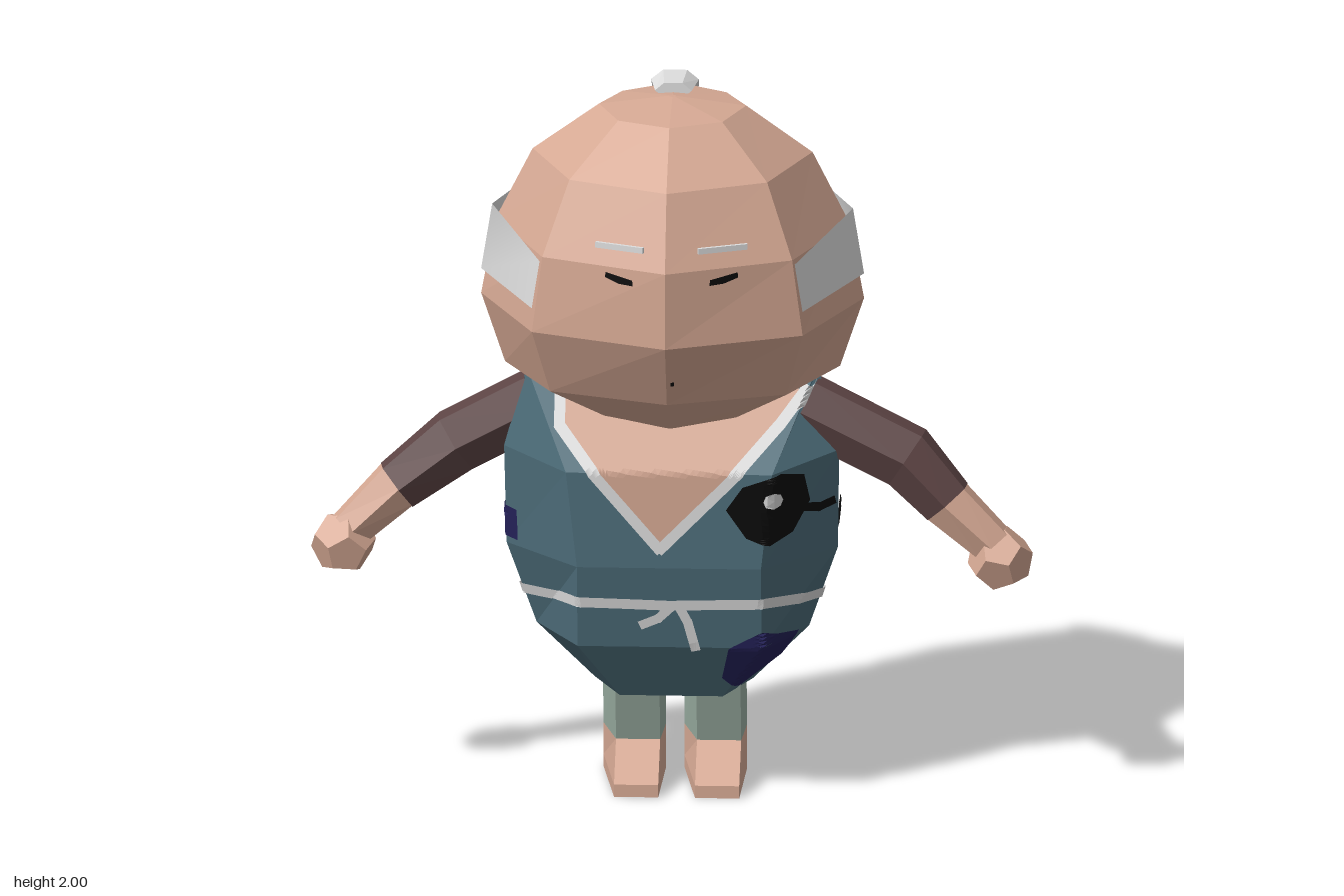
import * as THREE from 'three';

const V = (x, y, z) => new THREE.Vector3(x, y, z);
const paint = (name, color) => {
  const m = new THREE.MeshStandardMaterial({ color, side: THREE.DoubleSide });
  m.name = name;
  return m;
};

// Eight-sided head ring: half width rx, front depth zf, back depth zb, pointed to the rear
function headRing(y, rx, zf, zb) {
  return Array.from({ length: 8 }, (_, i) => {
    const a = i / 8 * Math.PI * 2, c = Math.cos(a);
    return V(Math.sin(a) * rx, y, 0.03 + (c > 0 ? c * (zf - 0.03) : Math.abs(c) ** 1.6 * (zb - 0.03)));
  });
}

// Ring from its left half, front to back, mirrored to the right
function mirrorRing(half) {
  const left = half.map(p => V(...p));
  const right = left.filter(p => p.x > 0).reverse().map(p => V(-p.x, p.y, p.z));
  return [...left, ...right];
}

// Faceted skin over a stack of rings, closed at both ends
function loft(rings) {
  const out = [], tri = (...p) => p.forEach(v => out.push(v.x, v.y, v.z));
  const n = rings[0].length;
  const mid = r => r.reduce((s, v) => s.add(v), V(0, 0, 0)).divideScalar(n);
  const first = rings[0], last = rings[rings.length - 1];
  const lo = mid(first), hi = mid(last);
  for (let i = 0; i < n; i++) {
    const j = (i + 1) % n;
    for (let k = 0; k + 1 < rings.length; k++) {
      const a = rings[k], b = rings[k + 1];
      tri(a[i], a[j], b[j]);
      tri(a[i], b[j], b[i]);
    }
    tri(lo, first[j], first[i]);
    tri(hi, last[i], last[j]);
  }
  return flat(out);
}

function flat(positions) {
  const g = new THREE.BufferGeometry();
  g.setAttribute('position', new THREE.Float32BufferAttribute(positions, 3));
  g.computeVertexNormals();
  return g;
}

// Six-sided limb along a path; sizes are [half width along u, half thickness]
function limb(path, sizes, u) {
  return loft(path.map((p, k) => {
    const d = path[Math.min(k + 1, path.length - 1)].clone().sub(path[Math.max(k - 1, 0)]).normalize();
    const v = d.clone().cross(u).normalize(), w = v.clone().cross(d).normalize();
    return Array.from({ length: 6 }, (_, i) => {
      const a = (i / 6) * Math.PI * 2;
      return p.clone().addScaledVector(w, Math.cos(a) * sizes[k][0]).addScaledVector(v, Math.sin(a) * sizes[k][1]);
    });
  }));
}

// Where an outline point is cast from: along z (x,y), along x (z,y) or inwards all round (angle,y)
const casts = {
  front: q => [V(q.x, q.y, 2), V(0, 0, -1)],
  left: q => [V(2, q.y, q.x), V(-1, 0, 0)],
  right: q => [V(-2, q.y, q.x), V(1, 0, 0)],
  round: q => {
    const d = V(Math.sin(q.x), 0, Math.cos(q.x));
    return [V(0, q.y, -0.1).addScaledVector(d, 2), d.negate()];
  },
};

// Thin patch laid onto a mesh, split finely so that it follows the facets
function patch(target, outline, from, lift = 0.006) {
  const shape = new THREE.ShapeGeometry(new THREE.Shape(outline.map(p => new THREE.Vector2(...p)))).toNonIndexed();
  const p = shape.attributes.position, out = [], ray = new THREE.Raycaster();
  const drop = q => {
    ray.set(...casts[from](q));
    const hit = ray.intersectObject(target)[0];
    return hit && hit.point.clone().addScaledVector(hit.face.normal, lift);
  };
  const split = (a, b, c) => {
    if (Math.max(a.distanceTo(b), b.distanceTo(c), c.distanceTo(a)) < 0.025) {
      const t = [a, b, c].map(drop);
      if (t.every(Boolean)) t.forEach(v => out.push(v.x, v.y, v.z));
      return;
    }
    const [ab, bc, ca] = [[a, b], [b, c], [c, a]].map(([s, e]) => s.clone().lerp(e, 0.5));
    [[a, ab, ca], [ab, b, bc], [ca, bc, c], [ab, bc, ca]].forEach(t => split(...t));
  };
  for (let i = 0; i < p.count; i += 3)
    split(...[0, 1, 2].map(k => V(0, 0, 0).fromBufferAttribute(p, i + k)));
  return flat(out);
}

// Quad outlines following a line
function strokes(points, w) {
  return points.slice(1).map(([bx, by], i) => {
    const [ax, ay] = points[i], l = Math.hypot(bx - ax, by - ay);
    const tx = (bx - ax) / l * w / 2, ty = (by - ay) / l * w / 2;
    return [[ax - tx * 0.5 - ty, ay - ty * 0.5 + tx], [ax - tx * 0.5 + ty, ay - ty * 0.5 - tx],
      [bx + tx * 0.5 + ty, by + ty * 0.5 - tx], [bx + tx * 0.5 - ty, by + ty * 0.5 + tx]];
  });
}

export function createModel() {
  const root = new THREE.Group();
  const skin = paint('skin', 0xd6a994), teal = paint('teal robe', 0x4e6e7b), sleeve = paint('brown sleeve', 0x5e4545);
  const sage = paint('sage trousers', 0x9bafa3), white = paint('white cloth', 0xdedede);
  const black = paint('black ink', 0x0a0a0a), purple = paint('purple patch', 0x25225a);
  const add = (name, geo, mat) => {
    const m = new THREE.Mesh(geo, mat);
    m.name = name;
    root.add(m);
    return m;
  };

  // Head
  const head = add('head', loft([
    [1.08, 0.2, 0.2, -0.13], [1.21, 0.455, 0.39, -0.29], [1.405, 0.52, 0.503, -0.34], [1.62, 0.48, 0.503, -0.335],
    [1.82, 0.38, 0.41, -0.285], [1.95, 0.2, 0.235, -0.165], [1.975, 0.01, 0.04, 0.02],
  ].map(r => headRing(...r))), skin);

  // Headband: smooth strip round the back, rising towards the rear
  const low = headRing(1.475, 0.52, 0.512, -0.352), high = headRing(1.61, 0.49, 0.512, -0.342);
  const band = [], index = [];
  for (let i = 1; i <= 7; i++) {
    const rise = 0.05 * (3 - Math.abs(4 - i));
    band.push(...low[i].toArray(), high[i].x, high[i].y + rise, high[i].z);
    const k = (i - 1) * 2;
    if (i < 7) index.push(k, k + 2, k + 3, k, k + 3, k + 1);
  }
  const bandGeo = new THREE.BufferGeometry();
  bandGeo.setAttribute('position', new THREE.Float32BufferAttribute(band, 3));
  bandGeo.setIndex(index);
  bandGeo.computeVertexNormals();
  add('headband', bandGeo, white);

  // Hair tail lying over the crown
  add('hairTail', limb([V(0, 1.975, -0.015), V(0, 1.973, -0.12), V(0, 1.862, -0.225), V(0, 1.78, -0.31), V(0, 1.76, -0.335)],
    [[0.05, 0.025], [0.065, 0.03], [0.058, 0.032], [0.03, 0.025], [0.04, 0.018]], V(1, 0, 0)), white);

  // Face
  for (const s of [-1, 1]) {
    const x = 0.015 + s * 0.14;
    add('eye', patch(head, [[x - s * 0.038, 1.576], [x, 1.578], [x + s * 0.038, 1.591], [x + s * 0.037, 1.606], [x - s * 0.037, 1.592]], 'front'), black);
    const brow = add('eyebrow', new THREE.BoxGeometry(0.14, 0.016, 0.009), white);
    brow.position.set(x, 1.683, 0.462);
    brow.rotation.y = s * 0.36;
  }
  add('mouth', patch(head, [[0.01, 1.28], [0.02, 1.28], [0.02, 1.293], [0.01, 1.293]], 'front'), black);

  // Robe: seven-sided rings with a flat front and a ridge at the back
  const robe = add('robe', loft([
    [[0.14, 0.29, 0.12], [0.215, 0.29, -0.04], [0.17, 0.29, -0.27], [0, 0.29, -0.34]],
    [[0.25, 0.46, 0.215], [0.37, 0.46, 0.01], [0.31, 0.46, -0.28], [0, 0.46, -0.46]],
    [[0.25, 0.7, 0.26], [0.45, 0.7, 0.05], [0.37, 0.7, -0.26], [0, 0.7, -0.46]],
    [[0.28, 0.97, 0.26], [0.455, 0.99, 0.09], [0.375, 1.05, -0.26], [0, 1.08, -0.5]],
    [[0.38, 1.19, 0.12], [0.395, 1.195, 0.0], [0.33, 1.21, -0.18], [0, 1.22, -0.28]],
  ].map(mirrorRing)), teal);

  // Belt: laid all round the robe, dipping at the hips
  const beltHalf = [[0, 0.59], [0.65, 0.597], [1.35, 0.562], [2.05, 0.588], [Math.PI, 0.6]];
  for (const s of [-1, 1])
    strokes(beltHalf.map(([a, y]) => [s * a, y]), 0.03).forEach(q => add('belt', patch(robe, q, 'round', 0.007), white));
  for (const line of [[[0, 0.58], [-0.03, 0.55], [-0.075, 0.53]], [[0.03, 0.58], [0.05, 0.54], [0.07, 0.46]]])
    strokes(line, 0.026).forEach(q => add('beltEnd', patch(robe, q, 'front'), white));

  // Open neckline with white trim
  const neckline = [[-0.3, 1.17], [-0.3, 1.08], [-0.025, 0.755], [0.3, 1.09], [0.37, 1.175]];
  add('chest', patch(robe, neckline, 'front', 0.005), skin);
  strokes(neckline, 0.03).forEach(q => add('collarTrim', patch(robe, q, 'front', 0.0095), white));

  // Flower emblem and its stem wrapping round the left side
  add('flower', patch(robe, [[0.155, 0.87], [0.2, 0.935], [0.3, 0.97], [0.36, 0.95], [0.375, 0.87], [0.33, 0.79], [0.27, 0.765], [0.21, 0.79]], 'front'), black);
  add('flowerCentre', patch(robe, Array.from({ length: 8 }, (_, i) =>
    [0.28 + 0.023 * Math.cos(i * Math.PI / 4), 0.895 + 0.023 * Math.sin(i * Math.PI / 4)]), 'front', 0.0095), white);
  strokes([[0.34, 0.86], [0.4, 0.84], [0.45, 0.85]], 0.025).forEach(q => add('stem', patch(robe, q, 'front'), black));
  strokes([[0.06, 0.84], [0.02, 0.77], [-0.02, 0.73], [-0.03, 0.65], [-0.07, 0.55]], 0.026)
    .forEach(q => add('stem', patch(robe, q, 'left', 0.0085), black));
  add('leaf', patch(robe, [[-0.04, 0.49], [-0.03, 0.54], [-0.13, 0.55], [-0.13, 0.52], [-0.07, 0.48]], 'left'), black);

  // Purple patches
  [
    [[[0.14, 0.36], [0.16, 0.46], [0.25, 0.51], [0.34, 0.47], [0.29, 0.38], [0.18, 0.32]], 'front'],
    [[[-0.265, 1.03], [-0.36, 1.08], [-0.45, 1.07], [-0.43, 0.755], [-0.36, 0.8], [-0.3, 0.89]], 'left'],
    [[[-0.02, 0.83], [0.1, 0.81], [0.09, 0.72], [0.0, 0.73]], 'right'],
    [[[-0.28, 0.39], [-0.17, 0.43], [-0.05, 0.4], [-0.12, 0.36], [-0.24, 0.35]], 'right'],
  ].forEach(a => add('robePatch', patch(robe, ...a), purple));

  for (const s of [-1, 1]) {
    // Arms: sleeve, bare forearm and faceted fist
    const z = s > 0 ? [0.03, 0.07, 0.09, 0.1] : [0, -0.02, 0.01, 0.04];
    const up = V(0, 0, 1);
    add('sleeve', limb([V(s * 0.36, 1.095, z[0]), V(s * (s > 0 ? 0.64 : 0.59), 0.965, z[1]), V(s * 0.75, 0.845, z[2])],
      [[0.08, 0.095], [0.08, 0.095], [0.068, 0.078]], up), sleeve);
    add('forearm', limb([V(s * 0.745, 0.85, z[2]), V(s * 0.88, 0.725, z[3])], [[0.066, 0.076], [0.058, 0.06]], up), skin);
    const fist = add('fist', new THREE.DodecahedronGeometry(0.09), skin);
    fist.position.set(s * 0.893, 0.69, z[3]);
    fist.rotation.set(0.3, s * 0.4, 0.2);

    // Legs: six-sided columns narrowing at the heel
    const legRing = (y, front, side, back) =>
      [[0.075, front], [0.085, side], [0.05, back], [-0.05, back], [-0.085, side], [-0.045, front]]
        .map(([x, d]) => V(s * 0.11 + x, y, d));
    add('trouserLeg', loft([legRing(0.125, 0, -0.14, -0.23), legRing(0.34, 0.06, -0.09, -0.18)]), sage);
    add('foot', loft([legRing(0, 0.125, -0.14, -0.23), legRing(0.035, 0.125, -0.14, -0.23), legRing(0.125, 0, -0.14, -0.23)]), skin);
  }
  return root;
}
